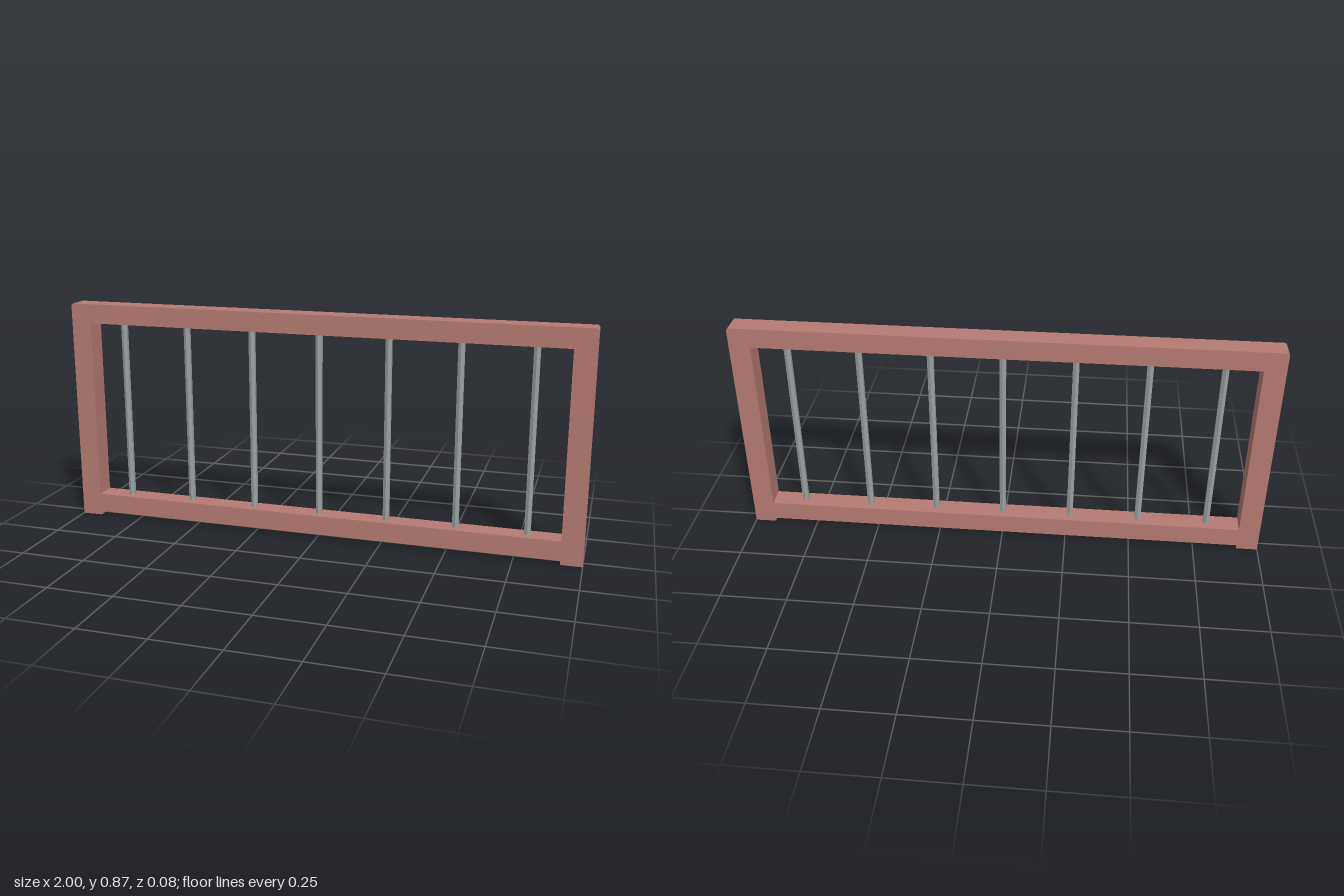
import * as THREE from 'three';

export function createModel() {
  const group = new THREE.Group();
  const redPaint = new THREE.MeshStandardMaterial({ color: 0xb67a73 });
  redPaint.name = 'dusty red paint';
  const steel = new THREE.MeshStandardMaterial({ color: 0x98a09f, flatShading: true });
  steel.name = 'grey steel';

  const height = 0.867, depth = 0.08, inner = 0.92, chamfer = 0.007;
  const railBottom = 0.015, openBottom = 0.09, openTop = 0.792;

  // Frame outline: short feet under the posts, clipped top corners
  const outline = new THREE.Shape([
    [-1, 0], [-inner, 0], [-inner, railBottom], [inner, railBottom], [inner, 0], [1, 0],
    [1, height - chamfer], [1 - chamfer, height], [-1 + chamfer, height], [-1, height - chamfer],
  ].map(([x, y]) => new THREE.Vector2(x, y)));
  outline.holes.push(new THREE.Path([
    [-inner, openBottom], [-inner, openTop], [inner, openTop], [inner, openBottom],
  ].map(([x, y]) => new THREE.Vector2(x, y))));

  const frameGeometry = new THREE.ExtrudeGeometry(outline, { depth, bevelEnabled: false });
  frameGeometry.translate(0, 0, -depth / 2);
  const frame = new THREE.Mesh(frameGeometry, redPaint);
  frame.name = 'frame';
  group.add(frame);

  // Seven evenly spaced hexagonal bars
  const barGeometry = new THREE.CylinderGeometry(0.0135, 0.0135, openTop - openBottom, 6);
  for (let i = -3; i <= 3; i++) {
    const bar = new THREE.Mesh(barGeometry, steel);
    bar.name = 'bar';
    bar.position.set(i * 0.265, (openTop + openBottom) / 2, 0);
    group.add(bar);
  }
  return group;
}
